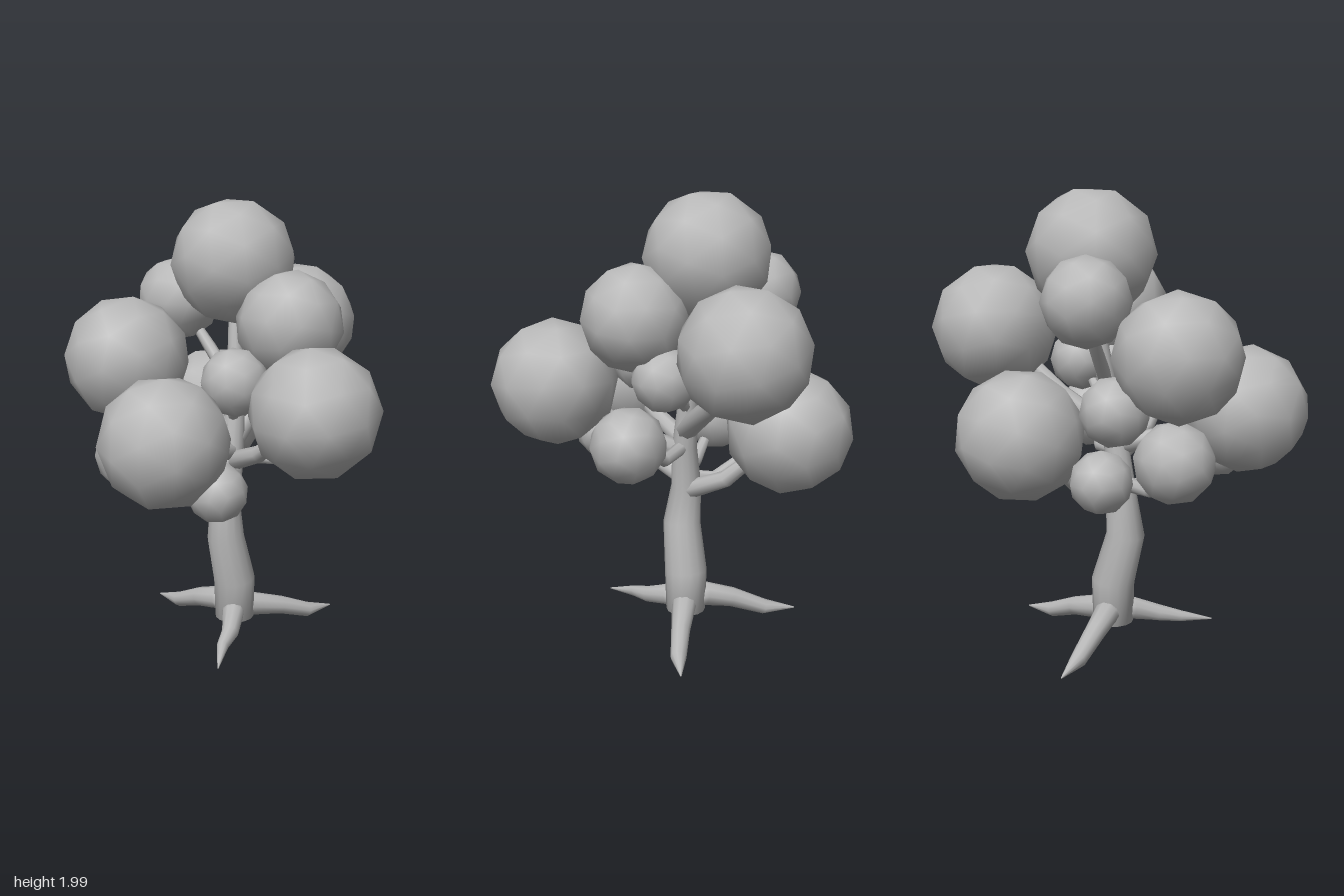
import * as THREE from 'three';

const grey = new THREE.MeshStandardMaterial({ color: 0xb8b8b8 });
grey.name = 'plain grey';

// Tapered limb: points are [x, y, z, radius], both ends closed
function limb(name, points, sides = 10) {
  const centres = points.map(p => new THREE.Vector3(p[0], p[1], p[2]));
  const up = new THREE.Vector3(0, 1, 0);
  const pos = [], index = [], last = points.length - 1;
  centres.forEach((c, i) => {
    const dir = centres[Math.min(i + 1, last)].clone().sub(centres[Math.max(i - 1, 0)]).normalize();
    const turn = new THREE.Quaternion().setFromUnitVectors(up, dir);
    for (let j = 0; j < sides; j++) {
      const a = j / sides * Math.PI * 2;
      const v = new THREE.Vector3(Math.sin(a), 0, Math.cos(a)).multiplyScalar(points[i][3]);
      pos.push(...v.applyQuaternion(turn).add(c).toArray());
      if (i < last) {
        const p = i * sides + j, q = i * sides + (j + 1) % sides;
        index.push(p, q, q + sides, p, q + sides, p + sides);
      }
    }
  });
  const start = pos.length / 3;
  pos.push(...centres[0].toArray(), ...centres[last].toArray());
  for (let j = 0; j < sides; j++) {
    const k = (j + 1) % sides;
    index.push(start, k, j, start + 1, last * sides + j, last * sides + k);
  }
  const g = new THREE.BufferGeometry();
  g.setAttribute('position', new THREE.Float32BufferAttribute(pos, 3));
  g.setIndex(index);
  g.computeVertexNormals();
  const mesh = new THREE.Mesh(g, grey);
  mesh.name = name;
  return mesh;
}

// Faceted leaf ball, each turned differently
function leafBall(name, [x, y, z, r], i) {
  const g = new THREE.IcosahedronGeometry(r * 1.015, 1);
  g.rotateX(i * 1.3 + 0.4);
  g.rotateY(i * 2.1);
  const mesh = new THREE.Mesh(g, grey);
  mesh.name = name;
  mesh.position.set(x, y, z);
  return mesh;
}

export function createModel() {
  const tree = new THREE.Group();
  tree.name = 'tree';

  // Trunk with a gentle bend
  tree.add(limb('trunk', [
    [-0.085, 0.09, -0.018, 0.09], [-0.085, 0.28, -0.018, 0.096], [-0.078, 0.5, 0.04, 0.085],
    [-0.095, 0.68, 0.028, 0.068], [-0.08, 0.88, 0, 0.055], [-0.09, 1.1, -0.03, 0.045],
    [-0.12, 1.35, -0.06, 0.035], [-0.15, 1.65, -0.08, 0.02],
  ], 14));

  // Three spreading roots
  const roots = [
    [[-0.1, 0.14, -0.02, 0.06], [-0.18, 0.15, -0.01, 0.055], [-0.31, 0.115, 0, 0.045], [-0.47, 0.05, 0, 0.035], [-0.62, 0.03, 0, 0.003]],
    [[-0.08, 0.13, -0.03, 0.06], [-0.06, 0.135, -0.09, 0.055], [-0.01, 0.095, -0.25, 0.042], [0.03, 0.042, -0.39, 0.035], [0.05, 0.03, -0.53, 0.003]],
    [[-0.07, 0.14, 0, 0.055], [-0.02, 0.135, 0.05, 0.05], [0.06, 0.1, 0.14, 0.038], [0.11, 0.08, 0.23, 0.026], [0.21, 0.05, 0.345, 0.003]],
  ];
  roots.forEach(r => tree.add(limb('root', r)));

  // Leaf balls: x, y, z, radius
  const leaves = {
    top: [-0.155, 1.735, -0.08, 0.275],
    frontLeft: [-0.325, 1.34, 0.385, 0.268],
    front: [0.095, 1.075, 0.525, 0.273],
    right: [0.485, 1.19, 0.055, 0.273],
    back: [-0.2, 1.41, -0.53, 0.273],
    left: [-0.485, 1.0, -0.25, 0.272],
    upperRight: [0.16, 1.49, -0.12, 0.232],
    upperLeft: [-0.41, 1.555, 0.02, 0.187],
    lowerFront: [-0.32, 0.91, 0.37, 0.17],
    lowerBack: [0.22, 0.98, -0.265, 0.163],
    lowerRight: [0.23, 0.86, 0.36, 0.126],
    lowerLeft: [-0.485, 0.84, 0.12, 0.13],
    innerFront: [0.075, 1.26, 0.12, 0.148],
    innerBack: [0.06, 1.25, -0.24, 0.14],
    innerLeft: [-0.42, 1.12, 0.15, 0.145],
  };
  Object.entries(leaves).forEach(([n, l], i) => tree.add(leafBall(n + 'Leaves', l, i)));

  // Branches: trunk point, elbow, leaf ball reached, thickness
  const branches = [
    [[-0.09, 0.72, 0.02], [-0.24, 0.69, 0.07], 'lowerLeft', 0.032],
    [[-0.1, 0.74, 0.03], [-0.18, 0.74, 0.2], 'lowerFront', 0.03],
    [[-0.09, 0.71, 0.03], [0.0, 0.74, 0.24], 'lowerRight', 0.035],
    [[-0.08, 0.88, 0], [0.04, 0.86, -0.14], 'lowerBack', 0.028],
    [[-0.09, 0.66, 0.01], [-0.24, 0.75, -0.12], 'left', 0.038],
    [[-0.08, 0.85, 0], [0.14, 0.94, 0.04], 'right', 0.038],
    [[-0.08, 0.9, 0], [0, 0.96, 0.24], 'front', 0.038],
    [[-0.09, 1.0, -0.02], [-0.2, 1.1, 0.18], 'frontLeft', 0.035],
    [[-0.08, 0.95, -0.01], [-0.13, 1.12, -0.25], 'back', 0.042],
    [[-0.1, 1.15, -0.03], [0.02, 1.28, -0.07], 'upperRight', 0.03],
    [[-0.1, 1.18, -0.04], [-0.25, 1.35, -0.02], 'upperLeft', 0.028],
    [[-0.09, 1.05, -0.02], [-0.01, 1.12, 0.05], 'innerFront', 0.024],
    [[-0.09, 1.05, -0.02], [-0.02, 1.14, -0.13], 'innerBack', 0.024],
    [[-0.08, 0.92, 0], [-0.22, 1.0, 0.07], 'innerLeft', 0.026],
  ];
  branches.forEach(([from, elbow, to, r]) => tree.add(limb('branch', [
    [...from, r * 1.15], [...elbow, r], [...leaves[to].slice(0, 3), r * 0.5],
  ], 8)));

  return tree;
}
